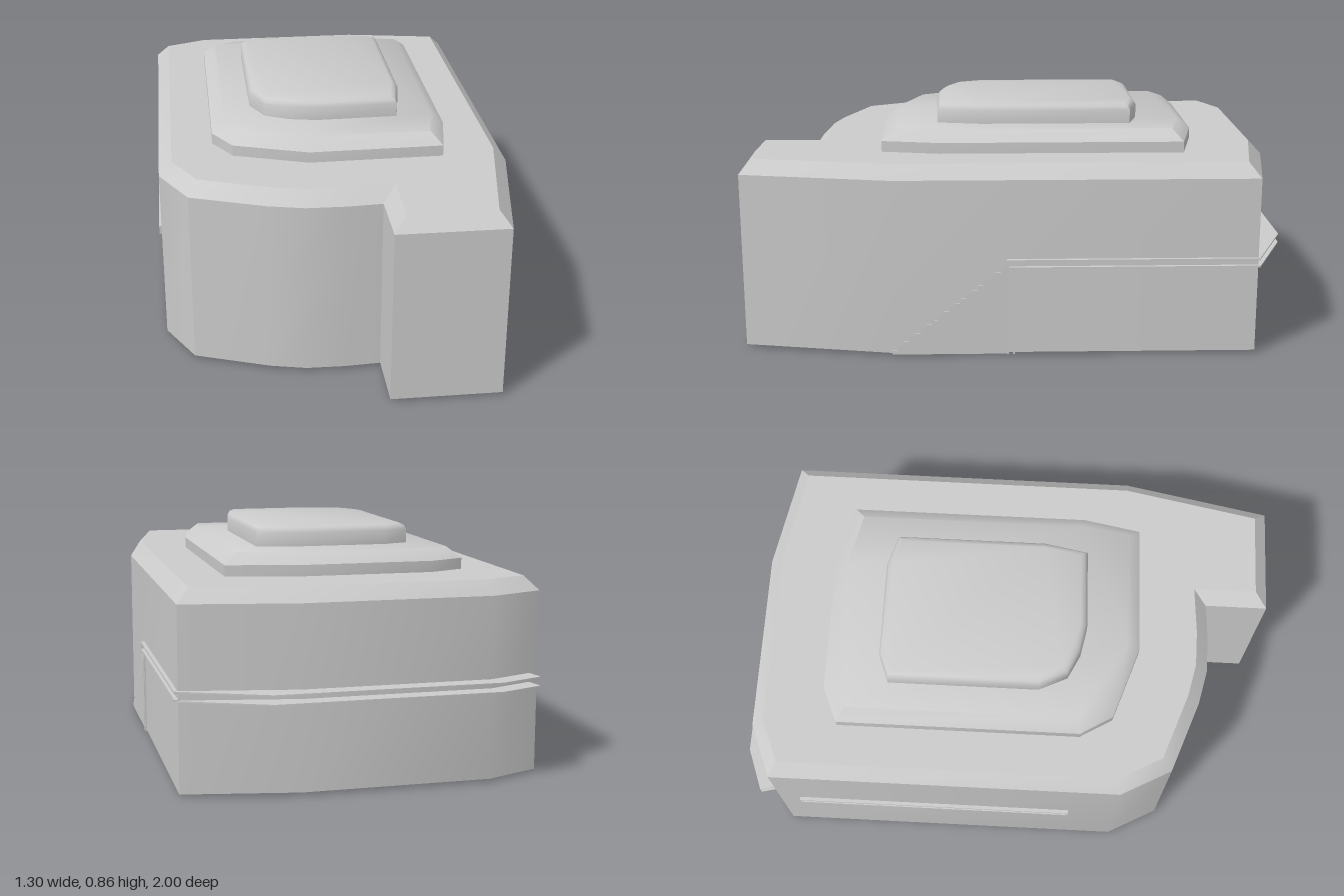
import * as THREE from 'three';
import { toCreasedNormals } from 'three/addons/utils/BufferGeometryUtils.js';

const material = new THREE.MeshStandardMaterial({ color: 0xcccccc, side: THREE.DoubleSide });

function addMesh(group, name, geometry, x = 0, y = 0, z = 0) {
  const mesh = new THREE.Mesh(geometry, material);
  mesh.name = name;
  mesh.position.set(x, y, z);
  group.add(mesh);
  return mesh;
}

// Mitred inset of a counter-clockwise [x, z] outline (seen from above)
function inset(points, d) {
  const n = points.length;
  const normal = (a, b) => {
    const dx = b[0] - a[0], dz = b[1] - a[1], l = Math.hypot(dx, dz);
    return [dz / l, -dx / l];
  };
  return points.map((p, i) => {
    const n1 = normal(points[(i + n - 1) % n], p);
    const n2 = normal(p, points[(i + 1) % n]);
    const k = d / (1 + n1[0] * n2[0] + n1[1] * n2[1]);
    return [p[0] + k * (n1[0] + n2[0]), p[1] + k * (n1[1] + n2[1])];
  });
}

// Closed solid through levels of [height, inset] over one outline
function tier(outline, levels, crease = 0.7) {
  const rings = levels.map(([y, d]) => inset(outline, d).map(([x, z]) => [x, y, z]));
  const n = outline.length;
  const pos = [];
  const tri = (a, b, c) => pos.push(...a, ...b, ...c);
  for (let r = 0; r < rings.length - 1; r++) {
    for (let i = 0; i < n; i++) {
      const j = (i + 1) % n, lo = rings[r], hi = rings[r + 1];
      tri(lo[i], lo[j], hi[j]);
      tri(lo[i], hi[j], hi[i]);
    }
  }
  const bottom = rings[0], top = rings[rings.length - 1];
  const faces = THREE.ShapeUtils.triangulateShape(top.map(p => new THREE.Vector2(p[0], -p[2])), []);
  for (const [a, b, c] of faces) {
    tri(top[a], top[b], top[c]);
    tri(bottom[a], bottom[c], bottom[b]);
  }
  const geometry = new THREE.BufferGeometry();
  geometry.setAttribute('position', new THREE.Float32BufferAttribute(pos, 3));
  return toCreasedNormals(geometry, crease);
}

export function createModel() {
  const model = new THREE.Group();
  model.name = 'tieredBuilding';

  // Main block with the projecting front wing
  const bodyOutline = [
    [0.13, 1], [0.53, 1], [0.635, 0.45], [0.637, -0.865], [0.23, -0.94], [-0.44, -0.94],
    [-0.64, -0.86], [-0.64, 0.45], [-0.54, 0.64], [-0.27, 0.74], [-0.14, 0.77], [0, 0.773], [0.13, 0.765],
  ];
  addMesh(model, 'mainBody', tier(bodyOutline, [[0.01, 0], [0.655, 0], [0.705, 0.048]]));

  // Stepped roof
  const roofOutline = [
    [-0.1, 0.503], [0.39, 0.495], [0.43, 0.28], [0.43, -0.615], [0.18, -0.672],
    [-0.31, -0.672], [-0.44, -0.615], [-0.44, 0.29], [-0.37, 0.41],
  ];
  addMesh(model, 'middleTier', tier(roofOutline, [[0.7, 0], [0.745, 0], [0.785, 0.048]]));
  const capOutline = [
    [-0.05, 0.3], [0.25, 0.293], [0.28, 0.13], [0.28, -0.43], [0.16, -0.465],
    [-0.2, -0.465], [-0.29, -0.43], [-0.29, 0.13], [-0.24, 0.235], [-0.15, 0.28],
  ];
  addMesh(model, 'roofCap', tier(capOutline, [[0.78, 0], [0.835, 0], [0.85, 0.009], [0.858, 0.025]], 0.8));

  // Pair of thin ledges across the back
  const ledgeOutline = [
    [0.648, -0.87], [0.34, -1], [-0.46, -1], [-0.62, -0.94], [-0.6, -0.86], [0.6, -0.85],
  ];
  for (const y of [0.328, 0.36]) {
    addMesh(model, 'backLedge', tier(ledgeOutline, [[y, 0], [y + 0.005, 0]]));
  }

  // Twin rails along each side, closed at the front end
  for (const [name, x, back, front] of [['leftRail', 0.64, -0.87, 0.04], ['rightRail', -0.643, -0.78, 0.27]]) {
    const rail = new THREE.Group();
    rail.name = name;
    for (const y of [0.333, 0.36]) {
      addMesh(rail, 'railBar', new THREE.BoxGeometry(0.02, 0.008, front - back), x, y, (front + back) / 2);
    }
    addMesh(rail, 'railEnd', new THREE.BoxGeometry(0.02, 0.035, 0.008), x, 0.3465, front - 0.004);
    model.add(rail);
  }

  // Door-edge strips below the left rail
  for (const z of [0.015, 0.036]) {
    addMesh(model, 'doorStrip', new THREE.BoxGeometry(0.016, 0.33, 0.007), 0.634, 0.17, z);
  }

  // Flight of steps set into the left wall
  const steps = 20, startZ = 0.04, endZ = 0.457, height = 0.33;
  const profile = new THREE.Shape();
  profile.moveTo(-startZ, 0.005);
  profile.lineTo(-startZ, height);
  for (let i = 0; i < steps; i++) {
    const z = startZ + (endZ - startZ) * (i + 1) / steps;
    const y = height - (height - 0.005) * i / steps;
    profile.lineTo(-z, y);
    profile.lineTo(-z, y - (height - 0.005) / steps);
  }
  const stairs = new THREE.ExtrudeGeometry(profile, { depth: 0.238, bevelEnabled: false });
  stairs.rotateY(Math.PI / 2);
  addMesh(model, 'sideSteps', stairs, 0.4);

  // Square feet
  for (const [x, z] of [[0.375, -0.755], [0.375, -0.015], [-0.475, -0.755], [-0.475, 0.205]]) {
    addMesh(model, 'foot', new THREE.BoxGeometry(0.11, 0.02, 0.11), x, 0.01, z);
  }
  return model;
}
